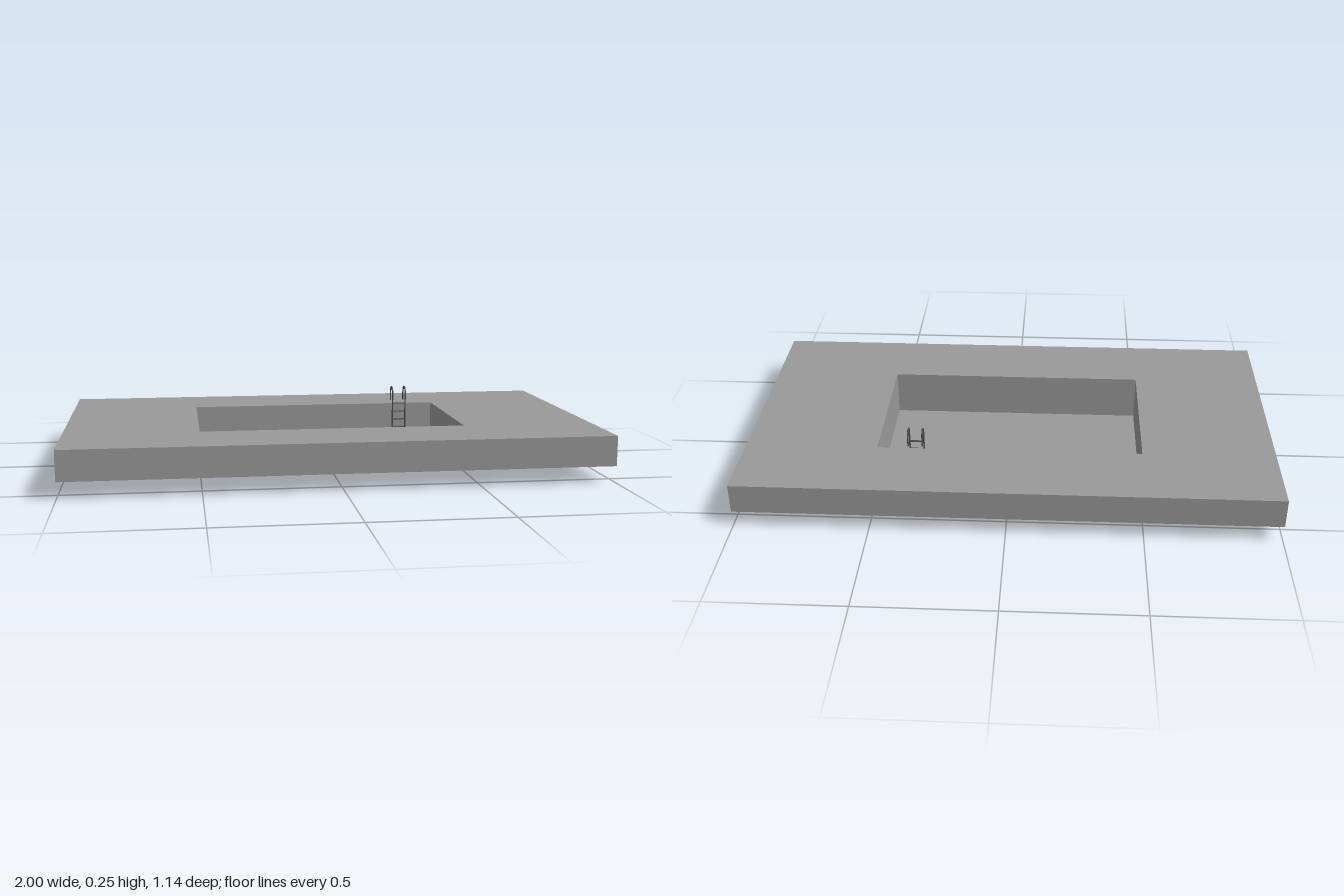
import * as THREE from 'three';

const concrete = new THREE.MeshStandardMaterial({ color: 0x999999, side: THREE.DoubleSide });
const metal = new THREE.MeshStandardMaterial({ color: 0x4d4d4d, side: THREE.DoubleSide });

const TOP = 0.175, SKIRT_BOTTOM = 0.063;
const DECK = { w: 2, d: 1.143 };
const BASIN = { w: 1, d: 0.572 };

function addMesh(parent, name, geometry, material, x = 0, y = 0, z = 0) {
  const mesh = new THREE.Mesh(geometry, material);
  mesh.name = name;
  mesh.position.set(x, y, z);
  parent.add(mesh);
  return mesh;
}

// Four thin upright walls around a rectangle, facing outward or inward
function addWalls(parent, name, { w, d }, bottom, top, inward) {
  for (let i = 0; i < 4; i++) {
    const angle = i * Math.PI / 2;
    const [width, distance] = i % 2 ? [d, w / 2] : [w, d / 2];
    const wall = addMesh(parent, name, new THREE.PlaneGeometry(width, top - bottom), concrete,
      Math.sin(angle) * distance, (top + bottom) / 2, Math.cos(angle) * distance);
    wall.rotation.y = angle + (inward ? Math.PI : 0);
  }
}

function rectangle(PathType, { w, d }) {
  return new PathType([[-1, -1], [1, -1], [1, 1], [-1, 1]]
    .map(([x, y]) => new THREE.Vector2(x * w / 2, y * d / 2)));
}

function createLadder() {
  const ladder = new THREE.Group();
  ladder.name = 'ladder';
  const xs = [0.327, 0.381], front = -0.246, radius = 0.0235;
  const foot = 0.03, arcY = 0.225, hookEnd = 0.188, tube = 0.003;

  // Rail path: up from the water, over the edge and down behind
  const path = new THREE.CurvePath();
  const point = (y, z) => new THREE.Vector3(0, y, z);
  const arc = [];
  for (let i = 0; i <= 12; i++) {
    const a = Math.PI * i / 12;
    arc.push(point(arcY + radius * Math.sin(a), front - radius + radius * Math.cos(a)));
  }
  path.add(new THREE.LineCurve3(point(foot, front), arc[0]));
  path.add(new THREE.CatmullRomCurve3(arc));
  path.add(new THREE.LineCurve3(arc[12], point(hookEnd, front - 2 * radius)));
  const railGeometry = new THREE.TubeGeometry(path, 64, tube, 8);
  const endGeometry = new THREE.CircleGeometry(tube, 8).rotateX(Math.PI / 2);
  for (const x of xs) {
    addMesh(ladder, 'ladderRail', railGeometry, metal, x);
    addMesh(ladder, 'railFoot', endGeometry, metal, x, foot, front);
    addMesh(ladder, 'railHookEnd', endGeometry, metal, x, hookEnd, front - 2 * radius);
  }

  // Thin flat treads
  const treadGeometry = new THREE.BoxGeometry(xs[1] - xs[0], 0.003, 0.008);
  for (let i = 0; i < 5; i++) {
    addMesh(ladder, 'ladderTread', treadGeometry, metal, (xs[0] + xs[1]) / 2, 0.181 - i * 0.034, front);
  }
  return ladder;
}

export function createModel() {
  const pool = new THREE.Group();
  pool.name = 'swimmingPool';

  // Deck surface with the pool opening, and its skirt (open underneath)
  const deckShape = rectangle(THREE.Shape, DECK);
  deckShape.holes.push(rectangle(THREE.Path, BASIN));
  addMesh(pool, 'deck', new THREE.ShapeGeometry(deckShape).rotateX(-Math.PI / 2), concrete, 0, TOP, 0);
  addWalls(pool, 'deckSkirt', DECK, SKIRT_BOTTOM, TOP, false);

  // Sunken basin
  addWalls(pool, 'basinWall', BASIN, 0, TOP, true);
  addMesh(pool, 'basinFloor', new THREE.PlaneGeometry(BASIN.w, BASIN.d).rotateX(-Math.PI / 2), concrete);

  pool.add(createLadder());
  return pool;
}
